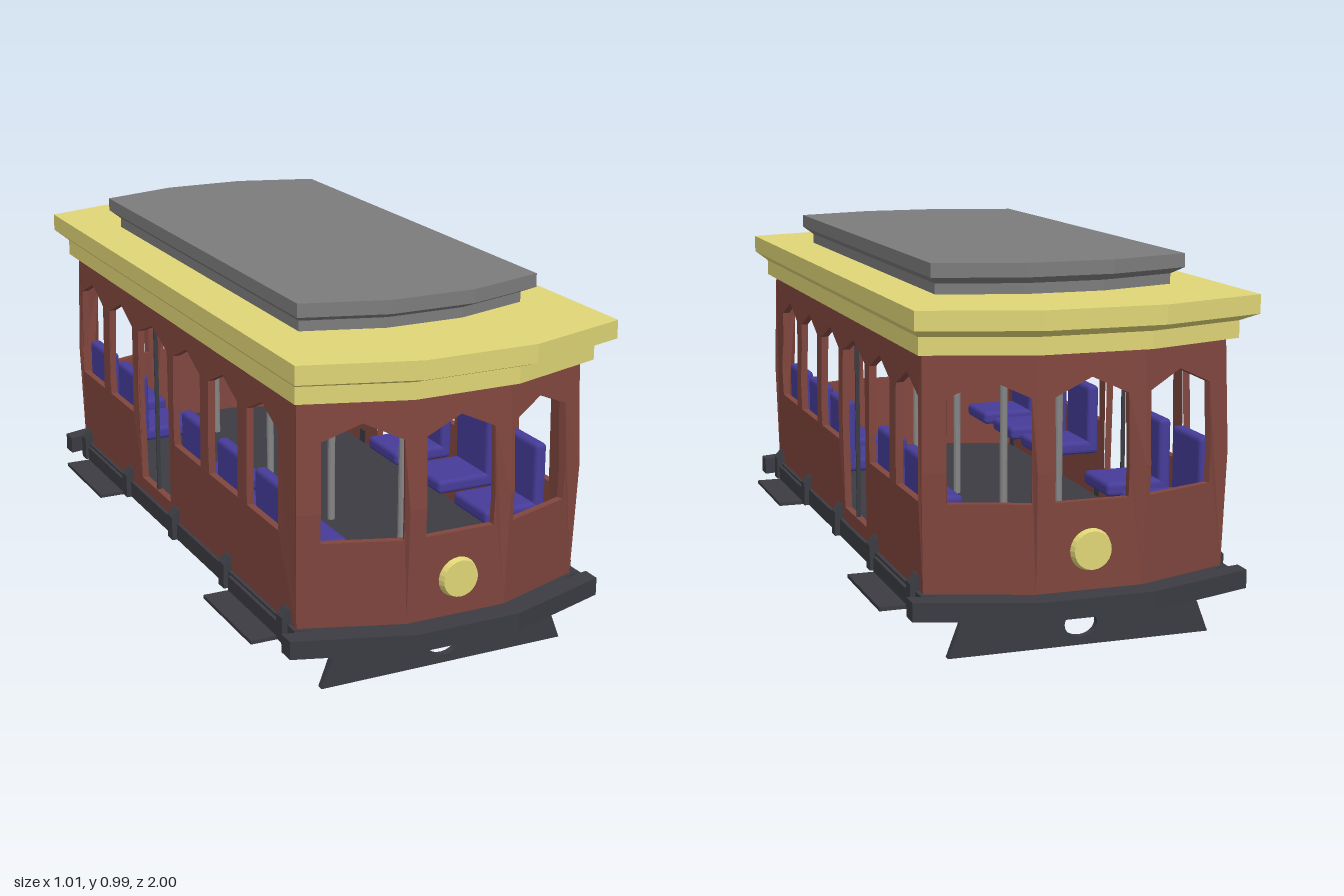
import * as THREE from 'three';
import { RoundedBoxGeometry } from 'three/addons/geometries/RoundedBoxGeometry.js';

const paint = (color) => new THREE.MeshStandardMaterial({ color, flatShading: true });
const RED = paint(0x80463e), YELLOW = paint(0xdfd576), GREY = paint(0x7c7c7c);
const DARK = paint(0x3b3c42), PURPLE = paint(0x463c98), STEEL = paint(0x858585);

function add(parent, name, geometry, material, x = 0, y = 0, z = 0) {
  const mesh = new THREE.Mesh(geometry, material);
  mesh.name = name;
  mesh.position.set(x, y, z);
  parent.add(mesh);
  return mesh;
}

// Eight-sided plan: half width w, side corner at zc, flat end of half width f at ze
const plan = (w, zc, f, ze) => [
  [-f, ze], [f, ze], [w, zc], [w, -zc], [f, -ze], [-f, -ze], [-w, -zc], [-w, zc],
];

// Closed stack of eight-sided rings, each [y, w, zc, f, ze], from bottom to top
function stack(rings) {
  const pos = [], index = [], n = 8;
  for (const [y, ...p] of rings) for (const [x, z] of plan(...p)) pos.push(x, y, z);
  for (let r = 0; r < rings.length - 1; r++) {
    for (let i = 0; i < n; i++) {
      const a = r * n + i, b = r * n + (i + 1) % n;
      index.push(a, b, b + n, a, b + n, a + n);
    }
  }
  const top = (rings.length - 1) * n;
  for (let i = 1; i < n - 1; i++) {
    index.push(0, i + 1, i, top, top + i, top + i + 1);
  }
  const g = new THREE.BufferGeometry();
  g.setAttribute('position', new THREE.Float32BufferAttribute(pos, 3));
  g.setIndex(index);
  const flat = g.toNonIndexed();
  flat.computeVertexNormals();
  return flat;
}

// Wall panel between two plan corners, with pointed openings [u0, u1, sill]
const BOTTOM = 0.16, TOP = 0.785, BELLY = 0.48;
function wallPanel([ax, az], [bx, bz], openings) {
  const length = Math.hypot(bx - ax, bz - az);
  const toPath = (pts, Type) => new Type(pts.map(([x, y]) => new THREE.Vector2(x, y)));
  const shape = toPath([[0, BOTTOM], [length, BOTTOM], [length, BELLY],
    [length, TOP], [0, TOP], [0, BELLY]], THREE.Shape);
  for (const [u0, u1, sill = 0.4] of openings) {
    shape.holes.push(toPath([[u0, sill], [u0, BELLY], [u0, 0.668], [(u0 + u1) / 2, 0.714],
      [u1, 0.668], [u1, BELLY], [u1, sill]], THREE.Path));
  }
  const g = new THREE.ExtrudeGeometry(shape, { depth: 0.02, bevelEnabled: false });
  g.translate(0, 0, -0.02);
  const u = new THREE.Vector3((bx - ax) / length, 0, (bz - az) / length);
  const up = new THREE.Vector3(0, 1, 0);
  const m = new THREE.Matrix4().makeBasis(u, up, u.clone().cross(up)).setPosition(ax, 0, az);
  g.applyMatrix4(m);
  // Gentle outward swell at belly height
  const p = g.attributes.position;
  for (let i = 0; i < p.count; i++) {
    const y = p.getY(i);
    const t = y < BELLY ? (y - BOTTOM) / (BELLY - BOTTOM) : (TOP - y) / (TOP - BELLY);
    const k = 1 + 0.016 * t;
    p.setXYZ(i, p.getX(i) * k, y, p.getZ(i) * k);
  }
  g.computeVertexNormals();
  return g;
}

function buildWalls(parent) {
  const corners = plan(0.413, 0.81, 0.145, 0.905);
  const diagonal = Math.hypot(0.413 - 0.145, 0.905 - 0.81);
  const middle = [[0.047, 0.243]];
  const leading = [[0.014, 0.223]];
  const trailing = [[diagonal - 0.223, diagonal - 0.014]];
  // Side openings by z: three windows, a door, two windows
  const side = [[0.51, 0.705], [0.255, 0.45], [0, 0.195], [-0.28, -0.05, 0.205],
    [-0.525, -0.33], [-0.78, -0.585]];
  const leftSide = side.map(([z0, z1, s]) => [0.81 - z1, 0.81 - z0, s]);
  const rightSide = side.map(([z0, z1, s]) => [0.81 + z0, 0.81 + z1, s]);
  const panels = [['frontWall', middle], ['frontLeftWall', leading], ['leftWall', leftSide],
    ['backLeftWall', trailing], ['backWall', middle], ['backRightWall', leading],
    ['rightWall', rightSide], ['frontRightWall', trailing]];
  panels.forEach(([name, holes], i) => {
    add(parent, name, wallPanel(corners[i], corners[(i + 1) % 8], holes), RED);
  });
}

function buildRoof(parent) {
  add(parent, 'roofEaves', stack([
    [0.78, 0.433, 0.845, 0.15, 0.937], [0.826, 0.433, 0.845, 0.15, 0.937],
    [0.85, 0.461, 0.905, 0.16, 1], [0.9, 0.461, 0.905, 0.16, 1],
  ]), YELLOW);
  add(parent, 'roofDeck', stack([
    [0.895, 0.327, 0.645, 0.11, 0.712], [0.928, 0.327, 0.645, 0.11, 0.712],
    [0.948, 0.35, 0.685, 0.12, 0.755], [0.985, 0.35, 0.685, 0.12, 0.755],
  ]), GREY);
}

// Parts repeated at both ends
function buildEnd(name) {
  const end = new THREE.Group();
  end.name = name;
  const bumper = new THREE.Shape([[0.46, 0.82], [0.46, 0.872], [0.15, 0.975], [-0.15, 0.975],
    [-0.46, 0.872], [-0.46, 0.82], [-0.15, 0.89], [0.15, 0.89]]
    .map(([x, z]) => new THREE.Vector2(x, -z)));
  const bar = new THREE.ExtrudeGeometry(bumper, { depth: 0.05, bevelEnabled: false });
  add(end, 'bumper', bar.rotateX(-Math.PI / 2), DARK, 0, 0.114, 0);

  const guard = new THREE.Shape([[-0.36, 0], [0.36, 0], [0.32, 0.106], [-0.32, 0.106]]
    .map(([x, y]) => new THREE.Vector2(x, y)));
  guard.holes.push(new THREE.Path().absellipse(0, 0.057, 0.045, 0.035, 0, Math.PI * 2, true));
  add(end, 'trackGuard', new THREE.ExtrudeGeometry(guard,
    { depth: 0.02, bevelEnabled: false, curveSegments: 16 }), DARK, 0, 0, 0.83);

  const lamp = new THREE.CylinderGeometry(0.05, 0.058, 0.025, 24).rotateX(Math.PI / 2);
  add(end, 'headlight', lamp, YELLOW, 0, 0.272, 0.916);
  return end;
}

// Parts repeated on both sides; sign is +1 for left, -1 for right
function buildSide(sign) {
  const side = new THREE.Group();
  side.name = sign > 0 ? 'leftFittings' : 'rightFittings';
  const bracket = new THREE.Shape([[-0.035, 0], [0.013, 0], [0.013, 0.07], [-0.007, 0.092],
    [-0.035, 0.092]].map(([x, y]) => new THREE.Vector2(x, y)));
  const bracketGeo = new THREE.ExtrudeGeometry(bracket, { depth: 0.036, bevelEnabled: false });
  bracketGeo.translate(0, 0, -0.018);
  if (sign < 0) bracketGeo.rotateY(Math.PI);
  for (const z of [-0.76, -0.38, 0, 0.38, 0.76]) {
    add(side, 'sillBracket', bracketGeo, DARK, sign * 0.425, 0.114, z);
  }
  for (const z of [-0.573, 0.573]) {
    add(side, 'step', new THREE.BoxGeometry(0.085, 0.01, 0.318), DARK, sign * 0.463, 0.11, z);
    add(side, 'stepHanger', new THREE.BoxGeometry(0.025, 0.05, 0.318), DARK,
      sign * 0.42, 0.132, z);
  }
  // Inward-facing seats, one under each window
  for (const z of [0.61, 0.355, 0.095, -0.43, -0.685]) {
    add(side, 'seatBack', new RoundedBoxGeometry(0.035, 0.205, 0.178, 2, 0.012), PURPLE,
      sign * 0.381, 0.403, z);
    add(side, 'seatCushion', new RoundedBoxGeometry(0.19, 0.04, 0.178, 2, 0.012), PURPLE,
      sign * 0.304, 0.315, z);
  }
  add(side, 'doorDivider', new THREE.BoxGeometry(0.012, 0.52, 0.005), DARK,
    sign * 0.405, 0.455, -0.165);
  return side;
}

export function createModel() {
  const tram = new THREE.Group();
  tram.name = 'tram';
  add(tram, 'floor', stack([
    [0.114, 0.423, 0.82, 0.145, 0.925], [0.164, 0.423, 0.82, 0.145, 0.925],
  ]), DARK);
  buildWalls(tram);
  buildRoof(tram);

  const back = buildEnd('backFittings');
  back.rotation.y = Math.PI;
  tram.add(buildEnd('frontFittings'), back, buildSide(1), buildSide(-1));

  // Grab poles down the aisle
  for (const z of [0.605, 0.177, -0.251, -0.679]) {
    add(tram, 'grabPole', new THREE.CylinderGeometry(0.011, 0.011, 0.63, 10), STEEL, 0, 0.475, z);
  }
  return tram;
}
